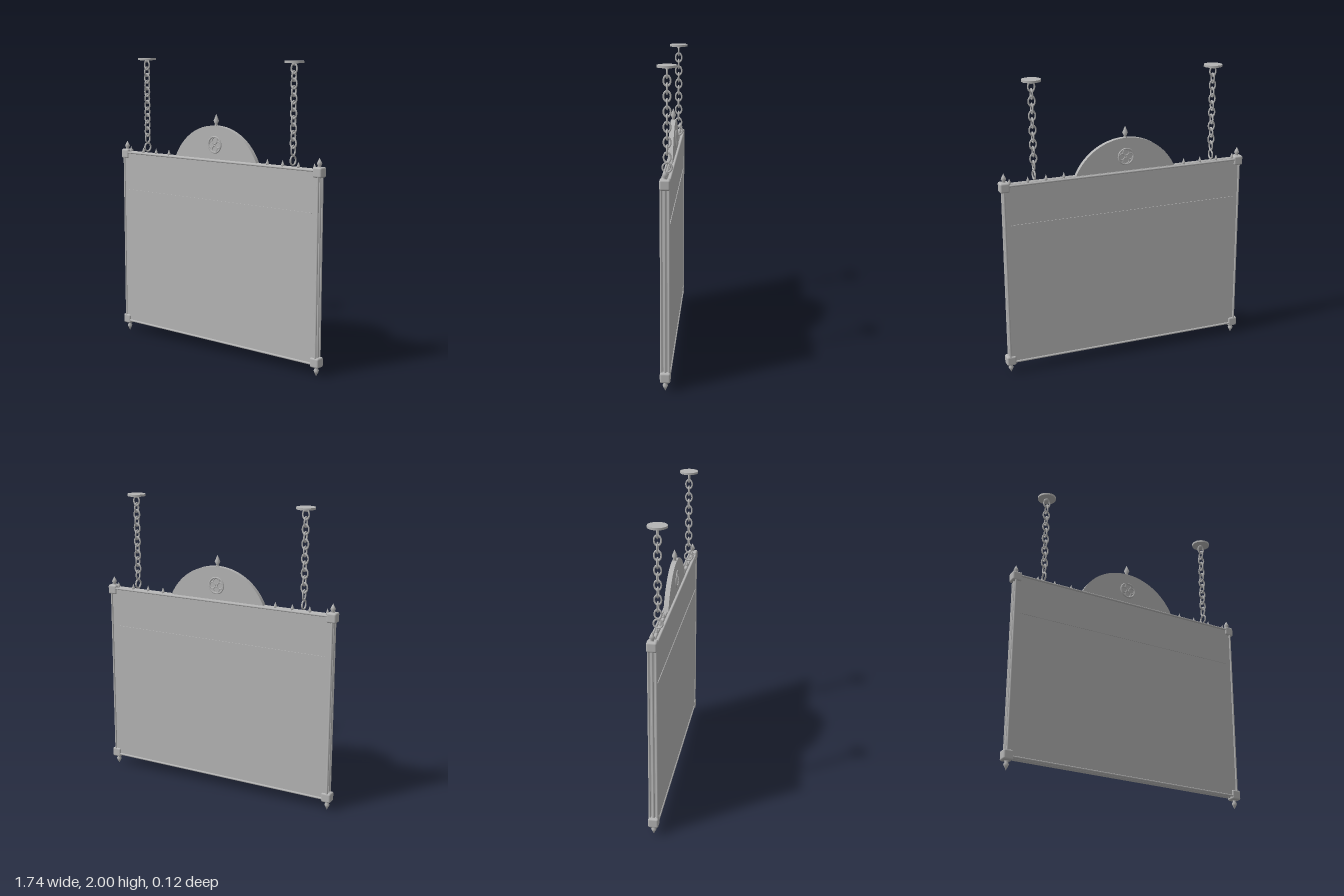
import * as THREE from 'three';
import { RoundedBoxGeometry } from 'three/addons/geometries/RoundedBoxGeometry.js';

export function createModel() {
  const model = new THREE.Group();
  model.name = 'hangingSign';
  const iron = new THREE.MeshStandardMaterial({ color: 0xb4b4b4 });
  iron.name = 'grey iron';

  const add = (name, geometry, x = 0, y = 0, z = 0, parent = model) => {
    const mesh = new THREE.Mesh(geometry, iron);
    mesh.name = name;
    mesh.position.set(x, y, z);
    parent.add(mesh);
    return mesh;
  };
  const box = (w, h, d) => new THREE.BoxGeometry(w, h, d);
  const lathe = (points, sides) =>
    new THREE.LatheGeometry(points.map(([r, y]) => new THREE.Vector2(r, y)), sides);

  const midY = 0.705, halfW = 0.842, halfH = 0.622;

  // Board with a thin divider on both faces
  add('board', box(1.67, 1.235, 0.048), 0, midY, 0);
  for (const z of [-1, 1]) add('divider', box(1.6, 0.007, 0.006), 0, 1.057, z * 0.025);

  // Frame: outer rails on both faces and a rib along the middle of each edge
  for (const s of [-1, 1]) {
    for (const z of [-0.024, 0, 0.024]) {
      const r = z === 0 ? 0.009 : 0.0075;
      add('sideRail', new THREE.CylinderGeometry(r, r, halfH * 2, 12), s * halfW, midY, z);
      add('crossRail', new THREE.CylinderGeometry(r, r, halfW * 2, 12), 0, midY + s * halfH, z)
        .rotation.z = Math.PI / 2;
    }
  }

  // Corner blocks with finials pointing up at the top and down at the bottom
  const block = new RoundedBoxGeometry(0.066, 0.066, 0.066, 3, 0.012);
  const cornerFinial = lathe([[0, 0], [0.013, 0], [0.013, 0.006], [0.009, 0.01], [0.018, 0.026], [0.012, 0.04], [0, 0.063]], 10);
  for (const sx of [-1, 1]) {
    for (const top of [true, false]) {
      const y = top ? 1.317 : 0.093;
      add('cornerBlock', block, sx * 0.835, y, 0);
      add('cornerFinial', cornerFinial, sx * 0.835, top ? 1.345 : 0.063, 0)
        .rotation.x = top ? 0 : Math.PI;
    }
  }

  // Small spikes along the top edge
  const spike = lathe([[0, 0], [0.008, 0], [0.011, 0.012], [0, 0.042]], 8);
  for (const s of [-1, 1]) {
    for (const x of [0.43, 0.552, 0.675, 0.798]) add('topSpike', spike, s * x, 1.33, 0);
  }

  // Arched crest
  const radius = 0.385, centreY = 1.177;
  const sweep = Math.asin(0.35 / radius);
  const arch = new THREE.Shape();
  arch.absarc(0, 0, radius, Math.PI / 2 - sweep, Math.PI / 2 + sweep, false);
  arch.closePath();
  const archGeometry = new THREE.ExtrudeGeometry(arch, { depth: 0.032, bevelEnabled: false, curveSegments: 40 });
  add('crest', archGeometry, 0, centreY, -0.016);
  add('crestFinial', lathe([[0, 0], [0.012, 0], [0.012, 0.007], [0.008, 0.011], [0.019, 0.035], [0, 0.08]], 10), 0, 1.56, 0);

  // Four-lobed rosette on each face of the crest
  for (const s of [-1, 1]) {
    const rosette = new THREE.Group();
    rosette.name = 'rosette';
    rosette.position.set(0, 1.435, s * 0.017);
    model.add(rosette);
    add('rosetteRing', new THREE.TorusGeometry(0.053, 0.006, 8, 32), 0, 0, 0, rosette);
    for (let i = 0; i < 4; i++) {
      const a = i * Math.PI / 2;
      add('rosetteLobe', new THREE.TorusGeometry(0.021, 0.004, 8, 20),
        Math.cos(a) * 0.028, Math.sin(a) * 0.028, 0, rosette);
    }
  }

  // Ceiling plates, chains and the rings holding the frame
  const link = new THREE.TorusGeometry(0.022, 0.0055, 8, 20).scale(1, 1.4, 1);
  for (const s of [-1, 1]) {
    const chain = new THREE.Group();
    chain.name = 'chain';
    chain.position.x = s * 0.633;
    model.add(chain);
    add('ceilingPlate', new THREE.CylinderGeometry(0.062, 0.062, 0.014, 32), 0, 1.993, 0, chain);
    add('plateKnob', new THREE.SphereGeometry(0.013, 12, 8), 0, 1.982, 0, chain);
    for (let i = 0; i < 12; i++) {
      add('chainLink', link, 0, 1.952 - i * 0.0467, 0, chain).rotation.y = (i % 2) * Math.PI / 2;
    }
    add('hangingRing', new THREE.TorusGeometry(0.029, 0.006, 8, 24), 0, 1.376, 0, chain)
      .rotation.y = Math.PI / 2;
  }

  return model;
}
